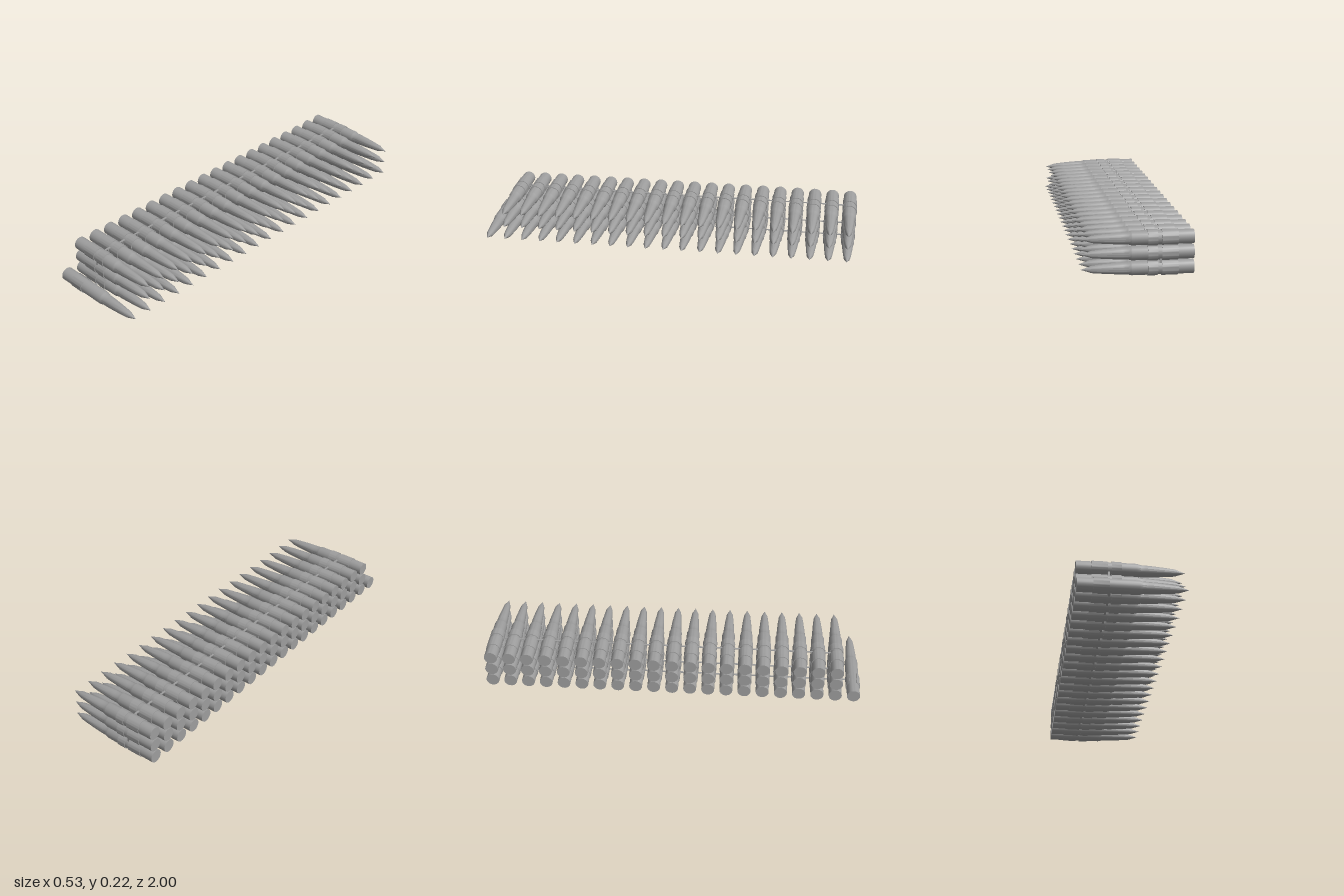
import * as THREE from 'three';
import { toCreasedNormals } from 'three/addons/utils/BufferGeometryUtils.js';

const SIDES = 18;
const PITCH = 0.0961;
const FIRST_Z = 0.961;

// Folded belt: each row has its height, number of skipped rounds and the side its webs lie on
const ROWS = [
  { y: 0.040, skip: 0, side: -1 },
  { y: 0.112, skip: 1, side: -1 },
  { y: 0.184, skip: 1, side: 1 },
];

// Turned profile along the x axis, from the base to the tip
function cartridgeGeometry() {
  const profile = [
    [0, -0.268], [0.0345, -0.268], [0.0345, 0.026], [0.033, 0.032], [0.029, 0.045],
    [0.0285, 0.07], [0.027, 0.1], [0.0225, 0.16], [0.0175, 0.212], [0, 0.265],
  ].map(([r, x]) => new THREE.Vector2(r, x));
  const g = new THREE.LatheGeometry(profile, SIDES);
  g.rotateZ(-Math.PI / 2);
  return toCreasedNormals(g, 0.5);
}

// Sheet-metal loop around a round; gap is half of the opening angle at the top
function bandGeometry(x0, x1, outer, gap) {
  const inner = outer - 0.0035;
  const a = Math.PI / 2 + gap;
  const b = Math.PI / 2 - gap + Math.PI * 2;
  const shape = new THREE.Shape();
  if (gap > 0) {
    shape.absarc(0, 0, outer, a, b, false);
    shape.absarc(0, 0, inner, b, a, true);
    shape.closePath();
  } else {
    shape.absarc(0, 0, outer, 0, Math.PI * 2, false);
    shape.holes.push(new THREE.Path().absarc(0, 0, inner, 0, Math.PI * 2, true));
  }
  const g = new THREE.ExtrudeGeometry(shape, { depth: x1 - x0, bevelEnabled: false, curveSegments: SIDES });
  g.rotateY(Math.PI / 2);
  g.translate(x0, 0, 0);
  return toCreasedNormals(g, 0.5);
}

export function createModel() {
  const belt = new THREE.Group();
  belt.name = 'cartridgeBelt';
  const material = new THREE.MeshStandardMaterial({ color: 0x9e9e9e });

  const cartridge = cartridgeGeometry();
  const wideBand = bandGeometry(-0.192, -0.115, 0.038, 0.52);
  const narrowBand = bandGeometry(-0.095, -0.048, 0.0385, 0);
  const web = new THREE.BoxGeometry(0.01, 0.003, 0.054);
  const foldWeb = new THREE.BoxGeometry(0.01, 0.036, 0.003);

  const add = (parent, name, geometry, x, y, z) => {
    const mesh = new THREE.Mesh(geometry, material);
    mesh.name = name;
    mesh.position.set(x, y, z);
    parent.add(mesh);
    return mesh;
  };

  ROWS.forEach(({ y, skip, side }, r) => {
    const row = new THREE.Group();
    row.name = `row${r + 1}`;
    belt.add(row);
    for (let i = skip; i < 21; i++) {
      const z = FIRST_Z - i * PITCH;
      add(row, 'cartridge', cartridge, 0, y, z);
      const open = add(row, 'wideBand', wideBand, 0, y, z);
      if (side > 0) open.rotation.x = Math.PI;
      // The loose first round carries only the wide loop
      if (r > 0 || i > 0) add(row, 'narrowBand', narrowBand, 0, y, z);
      // Narrow web to the next round in the row
      if (i < 20) add(row, 'linkWeb', web, -0.109, y + side * 0.016, z - PITCH / 2);
    }
  });

  // Upright webs where the belt folds back on itself
  add(belt, 'backFoldWeb', foldWeb, -0.109, 0.076, -FIRST_Z - 0.022);
  add(belt, 'frontFoldWeb', foldWeb, -0.109, 0.148, FIRST_Z - PITCH + 0.022);
  return belt;
}
